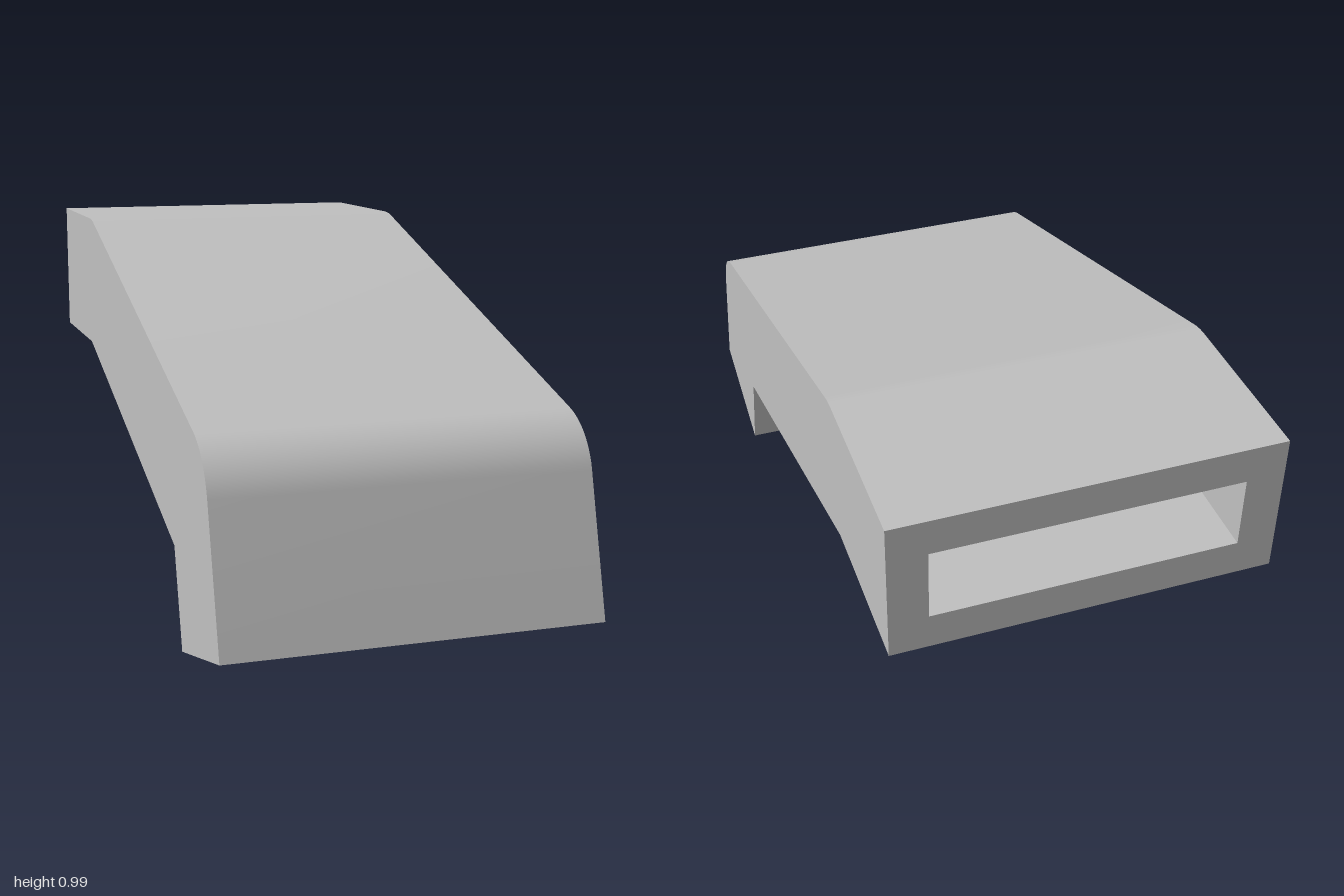
import * as THREE from 'three';
import { toCreasedNormals } from 'three/addons/utils/BufferGeometryUtils.js';

const V = (z, y) => new THREE.Vector2(z, y); // side profile points are (z, y)

// Lower and upper edge of the duct, from the front mouth to the back mouth
const lower = [V(0.63, 0), V(0.56, 0.255), V(-0.57, 0.6), V(-1, 0.6)];
const upper = [V(1, 0.1), V(0.877, 0.561), V(-0.52, 0.987), V(-1, 0.987)];
const WALL = 0.25;   // wall thickness as a share of the duct height
const OUT = 0.486;   // outer half width
const IN = 0.388;    // inner half width

// Line across the duct at share t of its height, with its two bends rounded
function profile(t, radius) {
  const c = lower.map((p, i) => p.clone().lerp(upper[i], t));
  const points = [c[0]];
  for (const i of [1, 2]) {
    if (!radius) { points.push(c[i]); continue; }
    const a = c[i - 1].clone().sub(c[i]).normalize();
    const b = c[i + 1].clone().sub(c[i]).normalize();
    const half = Math.acos(a.dot(b)) / 2;
    const centre = a.clone().add(b).normalize().multiplyScalar(radius / Math.sin(half)).add(c[i]);
    const start = a.multiplyScalar(radius / Math.tan(half)).add(c[i]).sub(centre);
    const end = b.multiplyScalar(radius / Math.tan(half)).add(c[i]).sub(centre);
    const turn = Math.atan2(start.cross(end), start.dot(end));
    for (let k = 0; k <= 10; k++) {
      points.push(start.clone().rotateAround(V(0, 0), turn * k / 10).add(centre));
    }
  }
  points.push(c[3]);
  return points;
}

// Sheet across the width following a profile, facing up or down
function sheet(points, halfWidth, facesUp) {
  const pos = [], index = [];
  points.forEach((p, i) => {
    pos.push(-halfWidth, p.y, p.x, halfWidth, p.y, p.x);
    if (i === 0) return;
    const a = 2 * i - 2, b = a + 1, c = a + 2, d = a + 3;
    index.push(...(facesUp ? [a, b, d, a, d, c] : [a, d, b, a, c, d]));
  });
  const g = new THREE.BufferGeometry();
  g.setAttribute('position', new THREE.Float32BufferAttribute(pos, 3));
  g.setIndex(index);
  return toCreasedNormals(g, 0.2);
}

// Flat side between two profiles at a given x, facing +x or -x
function side(bottom, top, x, facing) {
  const outline = [...bottom, ...[...top].reverse()].map(p => V(-facing * p.x, p.y));
  return new THREE.ShapeGeometry(new THREE.Shape(outline))
    .rotateY(facing * Math.PI / 2).translate(x, 0, 0);
}

// Rectangular rim around a mouth, tilted about x
function rim(i, tilt) {
  const h = lower[i].distanceTo(upper[i]) / 2, k = h * (1 - 2 * WALL);
  const rect = (w, r) => [V(-w, -r), V(w, -r), V(w, r), V(-w, r)];
  const shape = new THREE.Shape(rect(OUT, h));
  shape.holes.push(new THREE.Path(rect(IN, k)));
  const mid = lower[i].clone().lerp(upper[i], 0.5);
  return new THREE.ShapeGeometry(shape).rotateX(tilt).translate(0, mid.y, mid.x);
}

export function createModel() {
  const group = new THREE.Group();
  group.name = 'bentDuct';
  const grey = new THREE.MeshStandardMaterial({ color: 0xc0c0c0 });
  grey.name = 'lightGrey';
  const add = (name, geometry) => {
    const mesh = new THREE.Mesh(geometry, grey);
    mesh.name = name;
    group.add(mesh);
  };

  const bottom = profile(0, 0), top = profile(1, 0.19);
  const floor = profile(WALL, 0.097), ceiling = profile(1 - WALL, 0.097);

  // Outer shell
  add('topSurface', sheet(top, OUT, true));
  add('undersideSurface', sheet(bottom, OUT, false));
  // Passage
  add('passageFloor', sheet(floor, IN, true));
  add('passageCeiling', sheet(ceiling, IN, false));
  // Sides, mirrored
  for (const [name, s] of [['left', 1], ['right', -1]]) {
    add(name + 'Side', side(bottom, top, s * OUT, s));
    add(name + 'PassageWall', side(floor, ceiling, s * IN, -s));
  }
  // Mouths
  add('frontRim', rim(0, THREE.MathUtils.degToRad(75)));
  add('backRim', rim(3, Math.PI));
  return group;
}
